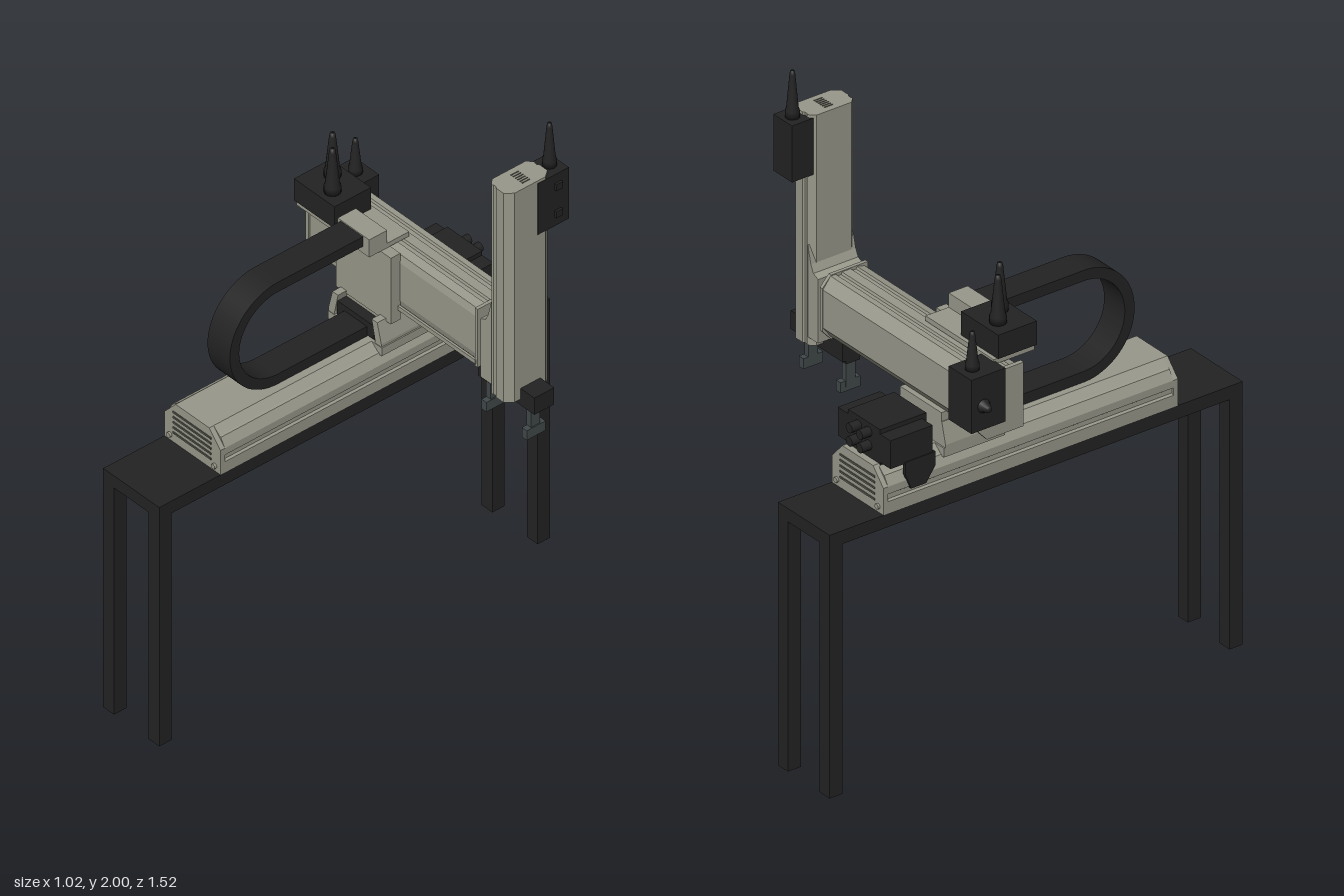
import * as THREE from 'three';

const mat = (name, color) => Object.assign(new THREE.MeshStandardMaterial({ color }), { name });

export function createModel() {
  const root = new THREE.Group();
  root.name = 'gantryRobot';
  const grey = mat('warm grey aluminium', 0x98988b);
  const black = mat('black plastic', 0x232323);
  const steel = mat('dark steel', 0x41484a);
  const shade = mat('slot grey', 0x5c5c53);

  const add = (name, geo, m, parent = root) => {
    const mesh = new THREE.Mesh(geo, m);
    mesh.name = name;
    parent.add(mesh);
    return mesh;
  };
  // box given by its limits
  const box = (name, m, x0, x1, y0, y1, z0, z1) => add(name,
    new THREE.BoxGeometry(x1 - x0, y1 - y0, z1 - z0)
      .translate((x0 + x1) / 2, (y0 + y1) / 2, (z0 + z1) / 2), m);
  // prism from a cross-section: (x,y) along z, (z,y) along x, (x,z) along y
  const prism = (name, m, pts, axis, a, b) => {
    const p = pts.map(([u, v]) => new THREE.Vector2(u, axis === 'y' ? -v : v));
    const g = new THREE.ExtrudeGeometry(new THREE.Shape(p), { depth: b - a, bevelEnabled: false });
    if (axis === 'z') g.translate(0, 0, a);
    if (axis === 'x') g.rotateY(-Math.PI / 2).translate(b, 0, 0);
    if (axis === 'y') g.rotateX(-Math.PI / 2).translate(0, a, 0);
    return add(name, g, m);
  };
  // stepped, tapering cable plug standing on its base
  const plug = (name, x, y, z, h, r) => {
    const pts = [[0, 0], [r, 0], [r, h * 0.15], [r * 0.85, h * 0.2], [r * 0.4, h * 0.92], [r * 0.3, h], [0, h]];
    const mesh = add(name, new THREE.LatheGeometry(pts.map(([a, b]) => new THREE.Vector2(a, b)), 16), black);
    mesh.position.set(x, y, z);
    return mesh;
  };

  // table
  box('tableTop', black, -0.3, -0.05, 0.84, 0.885, -0.76, 0.76);
  for (const x of [-0.3, -0.098]) for (const z of [-0.76, 0.712])
    box('tableLeg', black, x, x + 0.048, 0, 0.84, z, z + 0.048);

  // base rail with ledges and sloping shoulders
  const railHalf = [[0.125, 0.885], [0.125, 0.925], [0.118, 0.93], [0.118, 0.945], [0.125, 0.95],
    [0.125, 0.975], [0.107, 1.005], [0.1, 1.008], [0.075, 1.03]];
  const railPts = [...railHalf.map(([x, y]) => [-0.175 + x, y]),
    ...railHalf.map(([x, y]) => [-0.175 - x, y]).reverse()];
  prism('baseRail', grey, railPts, 'z', -0.545, 0.505);
  const cap = [[-0.05, 0.885], [-0.05, 0.975], [-0.1, 1.03], [-0.25, 1.03], [-0.3, 0.975], [-0.3, 0.885]];
  for (const [a, b, face] of [[0.505, 0.522, 0.522], [-0.562, -0.545, -0.565]]) {
    prism('railEndCap', grey, cap, 'z', a, b);
    for (let i = 0; i < 5; i++)
      box('endCapSlot', shade, -0.26, -0.09, 0.918 + i * 0.019, 0.924 + i * 0.019, face, face + 0.003);
    for (const x of [-0.275, -0.075]) {
      const bolt = add('endCapBolt', new THREE.CylinderGeometry(0.009, 0.009, 0.012, 10).rotateX(Math.PI / 2), grey);
      bolt.position.set(x, 0.905, face + 0.002);
    }
  }

  // rail drive motor saddled over the rear of the base rail
  box('railMotorBody', black, -0.305, -0.05, 1.035, 1.13, -0.54, -0.385);
  box('railMotorCover', black, -0.255, -0.1, 1.025, 1.145, -0.54, -0.37);
  for (const x of [-0.307, -0.055])
    prism('railMotorClamp', black,
      [[-0.375, 1.04], [-0.375, 0.995], [-0.41, 0.945], [-0.465, 0.945], [-0.487, 1.0], [-0.487, 1.04]], 'x', x, x + 0.012);
  for (const x of [-0.2, -0.15]) for (const y of [1.07, 1.115]) {
    const c = add('railMotorPlug', new THREE.CylinderGeometry(0.016, 0.016, 0.04, 12).rotateX(Math.PI / 2), black);
    c.position.set(x, y, -0.555);
  }

  // carriage: flared foot, bed and upright plate
  box('carriageBed', grey, -0.295, -0.055, 1.0, 1.03, -0.335, -0.11);
  box('carriageBlock', grey, -0.275, -0.075, 1.03, 1.14, -0.33, -0.15);
  box('carriagePlate', grey, -0.3, -0.055, 1.1, 1.345, -0.182, -0.145);
  for (const s of [-1, 1])
    prism('carriageGusset', grey,
      [[-0.1775 + s * 0.118, 1.0], [-0.1775 + s * 0.118, 1.04], [-0.1775 + s * 0.1, 1.11],
        [-0.1775 + s * 0.075, 1.11], [-0.1775 + s * 0.09, 1.04], [-0.1775 + s * 0.09, 1.0]], 'z', -0.33, -0.112);
  box('chainLowerMount', black, -0.26, -0.095, 1.035, 1.085, -0.15, -0.115);
  box('chainUpperMount', grey, -0.24, -0.1, 1.345, 1.41, -0.17, -0.1);
  box('chainMountPlate', grey, -0.43, -0.1, 1.345, 1.362, -0.255, -0.105);

  // cable chain, a U-shaped band
  const chain = new THREE.Shape();
  const cz = 0.23, cy = 1.218, R = 0.188, r = 0.152;
  chain.moveTo(-0.12, cy - R);
  chain.lineTo(cz, cy - R);
  chain.absarc(cz, cy, R, -Math.PI / 2, Math.PI / 2, false);
  chain.lineTo(-0.12, cy + R);
  chain.lineTo(-0.12, cy + r);
  chain.lineTo(cz, cy + r);
  chain.absarc(cz, cy, r, Math.PI / 2, -Math.PI / 2, true);
  chain.lineTo(-0.12, cy - r);
  add('cableChain', new THREE.ExtrudeGeometry(chain, { depth: 0.1, bevelEnabled: false, curveSegments: 24 })
    .rotateY(-Math.PI / 2).translate(-0.127, 0, 0), black);

  // cross beam with slotted top and underside
  const beamTop = [[-0.18, 1.31], [-0.187, 1.335], [-0.215, 1.342], [-0.218, 1.334], [-0.235, 1.334], [-0.238, 1.342],
    [-0.27, 1.342], [-0.273, 1.334], [-0.29, 1.334], [-0.293, 1.342], [-0.312, 1.342], [-0.34, 1.305]];
  const beam = [...beamTop, ...beamTop.map(([z, y]) => [z, 2.482 - y]).reverse()];
  prism('crossBeam', grey, beam, 'x', -0.455, 0.295);
  const endPts = [[-0.175, 1.13], [-0.175, 1.345], [-0.31, 1.345], [-0.342, 1.31], [-0.342, 1.165], [-0.31, 1.13]];
  prism('beamEndCap', grey, endPts, 'x', -0.47, -0.455);
  prism('beamFrontCap', grey, endPts, 'x', 0.285, 0.297);
  box('beamLowerLedge', grey, -0.45, 0.29, 1.14, 1.155, -0.18, -0.172);

  // beam motor on the rear end
  box('beamMotor', black, -0.48, -0.37, 1.175, 1.355, -0.375, -0.25);
  plug('beamMotorTopPlug', -0.425, 1.355, -0.33, 0.125, 0.022);
  plug('beamMotorSidePlug', -0.478, 1.255, -0.33, 0.034, 0.022).rotation.z = Math.PI / 2;

  // connector box with two plugs
  box('connectorBox', black, -0.435, -0.255, 1.362, 1.442, -0.242, -0.1);
  plug('connectorPlug', -0.372, 1.442, -0.195, 0.158, 0.026);
  plug('connectorPlug', -0.315, 1.442, -0.145, 0.158, 0.026);

  // slide that carries the upright column
  prism('columnSlide', grey, [[0.315, 1.11], [0.365, 1.11], [0.365, 1.42], [0.35, 1.36], [0.338, 1.335], [0.315, 1.325]],
    'z', -0.335, -0.17);
  box('slideNeck', grey, 0.29, 0.32, 1.15, 1.31, -0.27, -0.24);

  // upright column with slotted sides
  const colHalf = [[0.37, 0.085], [0.374, 0.08], [0.386, 0.08], [0.39, 0.085], [0.425, 0.085], [0.445, 0.06]];
  const column = [[0.35, 0.065], ...colHalf, ...colHalf.map(([x, z]) => [x, -z]).reverse(), [0.35, -0.065]]
    .map(([x, z]) => [x, z - 0.25]);
  prism('column', grey, column, 'y', 1.08, 1.855);
  for (let i = 0; i < 6; i++)
    box('columnVent', shade, 0.371 + i * 0.01, 0.375 + i * 0.01, 1.855, 1.857, -0.268, -0.238);

  // column motor
  box('columnMotor', black, 0.356, 0.446, 1.655, 1.845, -0.4, -0.28);
  for (const y of [1.7, 1.8])
    box('columnMotorButton', black, 0.446, 0.454, y - 0.012, y + 0.012, -0.37, -0.345);
  plug('columnMotorPlug', 0.4, 1.845, -0.365, 0.155, 0.022);

  // gripper with two fingers
  box('gripperBody', black, 0.255, 0.507, 1.058, 1.12, -0.29, -0.213);
  for (const s of [-1, 1]) {
    const x = 0.37 + s * 0.09;
    box('fingerSlide', black, x - 0.022, x + 0.022, 1.045, 1.06, -0.275, -0.225);
    box('finger', steel, x - 0.01, x + 0.01, 0.96, 1.048, -0.267, -0.232);
    box('fingerTip', steel, x - 0.008, x + 0.014, 0.945, 0.98, -0.285, -0.212);
  }
  return root;
}
